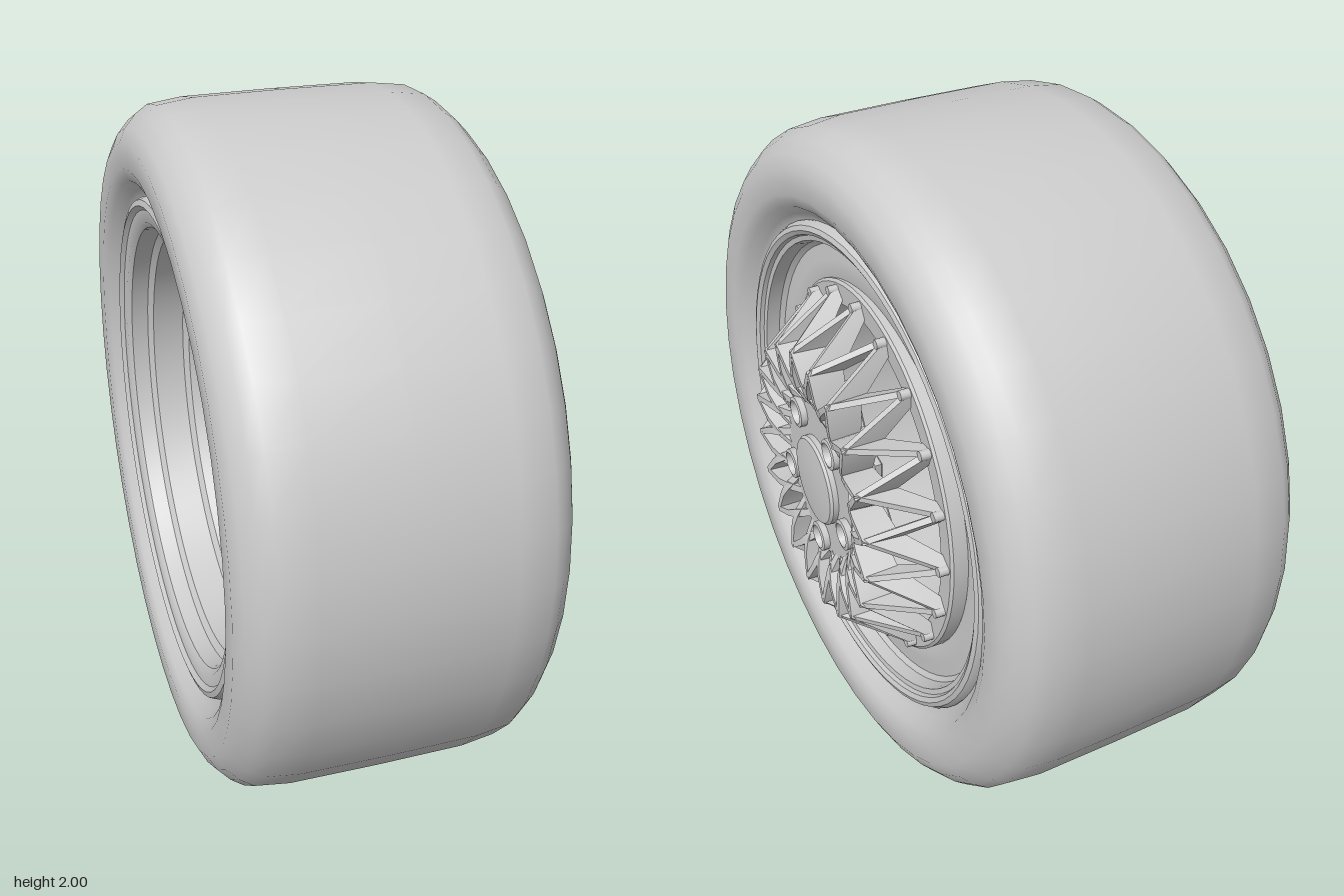
import * as THREE from 'three';
import { toCreasedNormals } from 'three/addons/utils/BufferGeometryUtils.js';

const STEP = Math.PI / 10; // twenty spoke bolts
const grey = new THREE.MeshStandardMaterial({ color: 0xcccccc, side: THREE.DoubleSide });

function add(parent, name, geometry) {
  const mesh = new THREE.Mesh(geometry, grey);
  mesh.name = name;
  parent.add(mesh);
  return mesh;
}

// Point on the wheel at radius r, angle a clockwise from the top
const polar = (r, a, z = 0) => new THREE.Vector3(r * Math.sin(a), r * Math.cos(a), z);

// Revolve [axial, radius] pairs about the z axis
function revolve(profile, segments, crease) {
  const pts = profile.map(([z, r]) => new THREE.Vector2(r, z));
  const g = new THREE.LatheGeometry(pts, segments).rotateX(Math.PI / 2);
  return crease ? toCreasedNormals(g, crease) : g;
}

// Tapered blade through sections [z, radius, bolt step, depth, front width, back width]
function blade(sections) {
  const centres = sections.map(([z, r, k]) => polar(r, k * STEP, z));
  const pos = [], index = [];
  const n = sections.length;
  sections.forEach(([, , , depth, front, back], i) => {
    const c = centres[i];
    const t = centres[Math.min(i + 1, n - 1)].clone().sub(centres[Math.max(i - 1, 0)]);
    const w = new THREE.Vector3(-t.y, t.x, 0).normalize();
    for (const [s, dz] of [[front, 0], [-front, 0], [-back, -depth], [back, -depth]]) {
      pos.push(c.x + w.x * s / 2, c.y + w.y * s / 2, c.z + dz);
    }
    if (i === n - 1) return;
    for (let j = 0; j < 4; j++) {
      const a = i * 4 + j, b = i * 4 + (j + 1) % 4;
      index.push(a, b, b + 4, a, b + 4, a + 4);
    }
  });
  const e = (n - 1) * 4;
  index.push(0, 2, 1, 0, 3, 2, e, e + 1, e + 2, e, e + 2, e + 3);
  const g = new THREE.BufferGeometry();
  g.setAttribute('position', new THREE.Float32BufferAttribute(pos, 3));
  g.setIndex(index);
  return toCreasedNormals(g, 0.5);
}

// Hub plate: star outline with five lug holes
function hubGeometry() {
  const outline = [];
  for (let i = 0; i < 40; i++) {
    const p = polar(i % 8 === 0 ? 0.3 : i % 2 ? 0.24 : 0.27, i * STEP / 2);
    outline.push(new THREE.Vector2(p.x, p.y));
  }
  const shape = new THREE.Shape(outline);
  for (let i = 0; i < 5; i++) {
    const p = polar(0.204, (2 + i * 4) * STEP);
    const hole = new THREE.Path();
    hole.absarc(p.x, p.y, 0.038, 0, Math.PI * 2, true);
    shape.holes.push(hole);
  }
  return new THREE.ExtrudeGeometry(shape, {
    depth: 0.09, bevelEnabled: true, bevelSize: 0.006, bevelThickness: 0.006, bevelSegments: 1, curveSegments: 10,
  });
}

export function createModel() {
  const model = new THREE.Group();
  model.name = 'wheel';

  // Everything turns about local z, which points along +x in the model
  const axle = new THREE.Group();
  axle.name = 'wheelAssembly';
  axle.rotation.y = Math.PI / 2;
  axle.position.y = 1;
  model.add(axle);

  // Tyre, from the back bead over the tread to the front bead
  add(axle, 'tyre', revolve([
    [-0.445, 0.715], [-0.45, 0.735], [-0.465, 0.755], [-0.495, 0.78], [-0.51, 0.815], [-0.51, 0.885],
    [-0.49, 0.925], [-0.455, 0.962], [-0.42, 0.985], [-0.32, 0.998], [-0.065, 1], [0.19, 0.998],
    [0.29, 0.985], [0.325, 0.962], [0.36, 0.925], [0.38, 0.885], [0.38, 0.815], [0.365, 0.78],
    [0.335, 0.755], [0.32, 0.735], [0.315, 0.715],
  ], 40, 0.75));

  // Rim, from the front lip down the dish and along the barrel to the back lip
  add(axle, 'rim', revolve([
    [0.29, 0.733], [0.325, 0.733], [0.343, 0.722], [0.348, 0.708], [0.34, 0.695], [0.328, 0.69],
    [0.325, 0.675], [0.285, 0.668], [0.272, 0.655], [0.275, 0.61], [0.28, 0.56], [0.268, 0.535],
    [0.24, 0.535], [-0.2, 0.58], [-0.275, 0.59], [-0.29, 0.612], [-0.385, 0.618], [-0.4, 0.638],
    [-0.45, 0.645], [-0.462, 0.66], [-0.465, 0.695], [-0.478, 0.708], [-0.473, 0.725], [-0.455, 0.733],
    [-0.42, 0.733],
  ], 64, 0.6));

  // Spoke centre, set at a slight angle inside the rim
  const face = new THREE.Group();
  face.name = 'spokeCentre';
  face.position.z = 0.25;
  face.rotation.y = -0.047;
  axle.add(face);

  add(face, 'flange', revolve([
    [0, 0.485], [0, 0.558], [0.045, 0.558], [0.052, 0.55], [0.05, 0.49], [0.044, 0.485], [0, 0.485],
  ], 60, 0.6));

  // Crossing lattice spokes and the bolts at their outer ends
  const spokeShapes = [-1, 1].map((side) => blade([
    [0.06, 0.535, 0, 0.045, 0.018, 0.024],
    [0.238, 0.405, side * 0.5, 0.1, 0.016, 0.028],
    [0.232, 0.33, side * 0.81, 0.09, 0.02, 0.034],
    [0.222, 0.285, side, 0.08, 0.024, 0.036],
    [0.185, 0.215, side * 1.5, 0.06, 0.02, 0.03],
  ]));
  const boltShape = new THREE.CylinderGeometry(0.014, 0.016, 0.08, 10).rotateX(Math.PI / 2);
  for (let k = 0; k < 20; k++) {
    for (const shape of spokeShapes) add(face, 'spoke', shape).rotation.z = -k * STEP;
    add(face, 'rimBolt', boltShape).position.copy(polar(0.53, k * STEP, 0.04));
  }

  // Web behind the inner crossings
  add(face, 'hubWeb', revolve([
    [0.13, 0.245], [0.13, 0.31], [0.15, 0.318], [0.165, 0.31], [0.175, 0.245], [0.13, 0.245],
  ], 40, 0.6));

  // Hub plate with lug seats
  add(face, 'hub', hubGeometry()).position.z = 0.1;
  const lugShape = revolve([
    [-0.07, 0.026], [-0.07, 0.046], [0.025, 0.046], [0.028, 0.036], [-0.02, 0.024], [-0.07, 0.026],
  ], 12, 0.6);
  for (let i = 0; i < 5; i++) {
    add(face, 'lugSeat', lugShape).position.copy(polar(0.204, (2 + i * 4) * STEP, 0.19));
  }

  // Centre cap
  add(face, 'centreCap', revolve([
    [0.15, 0.134], [0.212, 0.134], [0.22, 0.127], [0.225, 0.08], [0.227, 0],
  ], 48, 0.5));

  return model;
}
